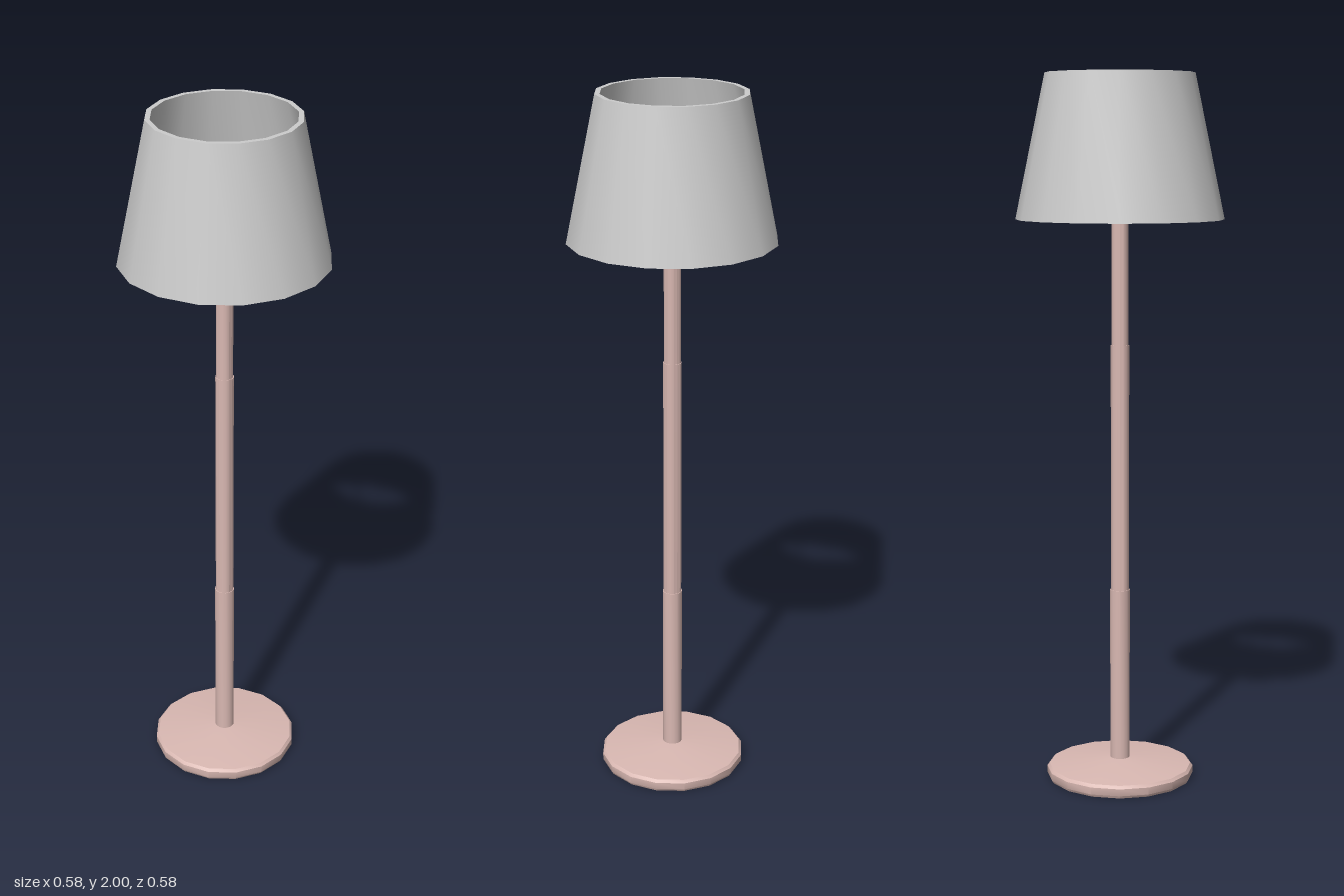
import * as THREE from 'three';
import { toCreasedNormals } from 'three/addons/utils/BufferGeometryUtils.js';

const SIDES = 16;

export function createModel() {
  const model = new THREE.Group();
  const standMat = new THREE.MeshStandardMaterial({ color: 0xd9b8b2 });
  const shadeMat = new THREE.MeshStandardMaterial({ color: 0xcccccc });

  const add = (name, geometry, material, parent = model) => {
    const mesh = new THREE.Mesh(geometry, material);
    mesh.name = name;
    parent.add(mesh);
    return mesh;
  };
  // Turned part from [radius, height] pairs, listed bottom to top on the outside
  const turned = (points, sides = SIDES) => toCreasedNormals(
    new THREE.LatheGeometry(points.map(([r, y]) => new THREE.Vector2(r, y)), sides), 0.6);

  // Round foot with a shallow conical top
  add('base', turned([
    [0, 0], [0.205, 0], [0.21, 0.008], [0.21, 0.028], [0.203, 0.036], [0.028, 0.055], [0, 0.055],
  ]), standMat);

  // Pole in three slightly narrowing sections
  add('pole', turned([
    [0.028, 0.045], [0.028, 0.55], [0.026, 0.55], [0.026, 1.25],
    [0.024, 1.25], [0.024, 1.645], [0, 1.645],
  ]), standMat);

  // Collar and three thin spokes carrying the shade
  const holder = new THREE.Group();
  holder.name = 'shadeHolder';
  holder.position.y = 1.63;
  model.add(holder);
  add('collar', turned([[0.02, -0.01], [0.038, -0.01], [0.038, 0.01], [0.02, 0.01]]), standMat, holder);
  const spokeGeometry = new THREE.CylinderGeometry(0.004, 0.004, 0.235, 8)
    .rotateX(Math.PI / 2).translate(0, 0, 0.1525);
  for (let i = 0; i < 3; i++) {
    add('spoke', spokeGeometry, standMat, holder).rotation.y = i * Math.PI * 2 / 3;
  }

  // Tapered hollow shade, open at both ends
  add('shade', turned([
    [0.276, 1.6], [0.29, 1.6], [0.207, 2], [0.193, 2], [0.276, 1.6],
  ]), shadeMat);

  return model;
}
